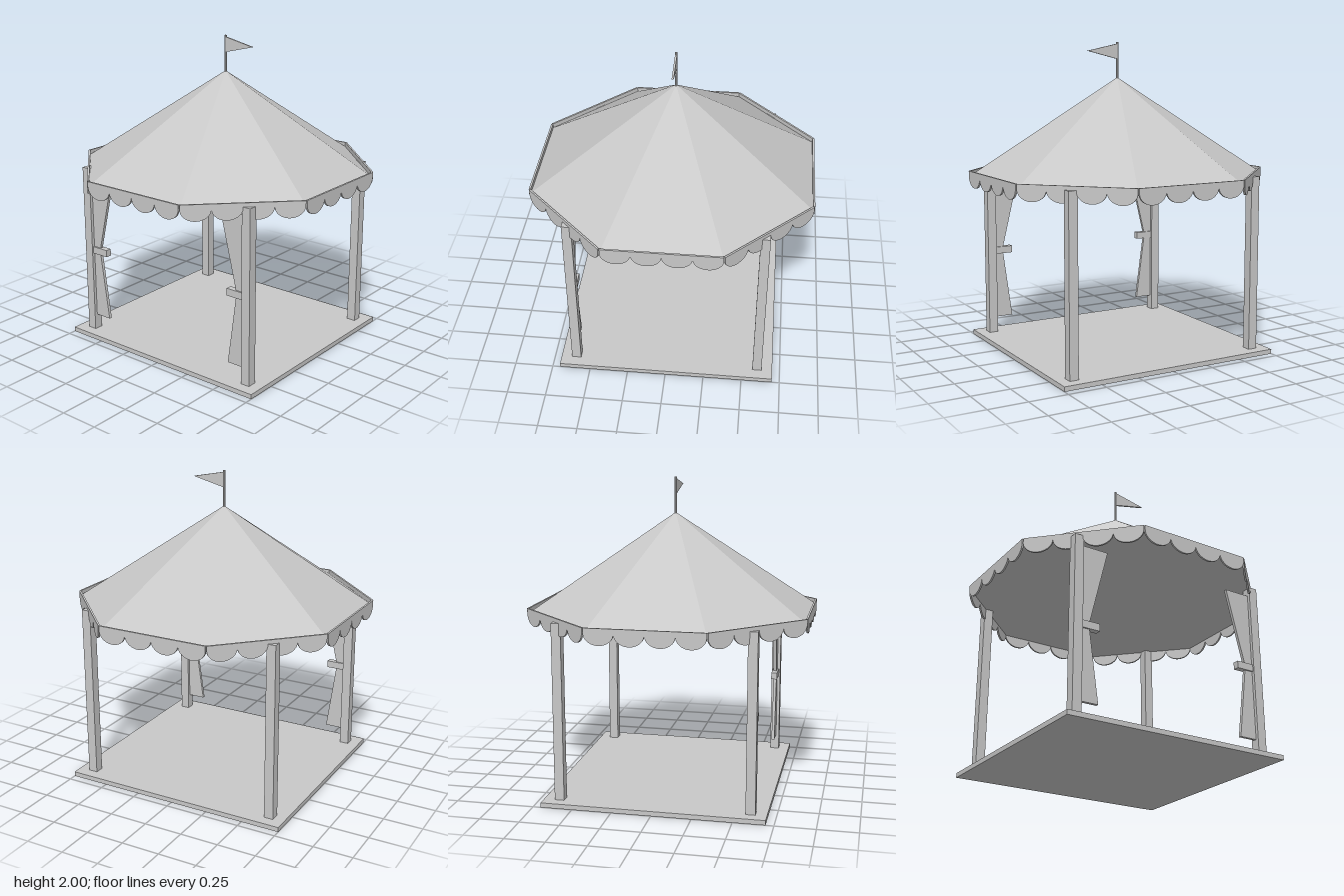
import * as THREE from 'three';

export function createModel() {
  const group = new THREE.Group();
  const grey = new THREE.MeshStandardMaterial({ color: 0xc8c8c8, flatShading: true });
  grey.name = 'plain grey';

  const add = (name, geometry, x = 0, y = 0, z = 0, parent = group) => {
    const mesh = new THREE.Mesh(geometry, grey);
    mesh.name = name;
    mesh.position.set(x, y, z);
    parent.add(mesh);
    return mesh;
  };
  const box = (w, h, d) => new THREE.BoxGeometry(w, h, d);
  // Flat outline with a thickness centred on z = 0
  const plate = (shape, depth) =>
    new THREE.ExtrudeGeometry(shape, { depth, bevelEnabled: false, curveSegments: 12 })
      .translate(0, 0, -depth / 2);
  const outline = (points) => new THREE.Shape(points.map(([x, y]) => new THREE.Vector2(x, y)));

  // Floor and corner posts
  add('floor', box(1.5, 0.03, 1.4), 0, 0.015, 0);
  for (const sx of [-1, 1]) {
    for (const sz of [-1, 1]) {
      add('post', box(0.06, 1.125, 0.06), sx * 0.65, 0.5925, sz * 0.6);
    }
  }

  // Eight-sided roof
  const apothem = 0.88, eave = 1.15, peak = 1.775;
  const radius = apothem / Math.cos(Math.PI / 8);
  const roof = new THREE.ConeGeometry(radius, peak - eave, 8, 1, false, Math.PI / 8);
  add('roof', roof, 0, (eave + peak) / 2, 0);

  // Scalloped valance panel, one for each side of the roof
  const half = apothem * Math.tan(Math.PI / 8);
  const scallops = 4, r = half / scallops;
  const edge = new THREE.Shape();
  edge.moveTo(half, eave);
  edge.lineTo(half, 1.18);
  edge.lineTo(-half, 1.18);
  edge.lineTo(-half, eave);
  for (let i = 0; i < scallops; i++) {
    edge.absellipse(-half + r * (2 * i + 1), eave, r, 0.073, Math.PI, 2 * Math.PI, false, 0);
  }
  const panel = plate(edge, 0.012).translate(0, 0, apothem + 0.005);
  for (let i = 0; i < 8; i++) {
    add('valance', panel).rotation.y = (i * Math.PI) / 4;
  }

  // Tied-back curtains on the front posts
  for (const s of [-1, 1]) {
    const curtain = new THREE.Group();
    curtain.name = s > 0 ? 'leftCurtain' : 'rightCurtain';
    const points = [[0.63, 1.1], [0.445, 1.1], [0.568, 0.6], [0.503, 0.13], [0.63, 0.13]];
    add('drape', plate(outline(points.map(([x, y]) => [s * x, y])), 0.02), 0, 0, 0, curtain);
    add('tieBand', box(0.13, 0.046, 0.04), s * 0.566, 0.595, 0, curtain);
    curtain.position.z = 0.6;
    group.add(curtain);
  }

  // Flagpole and pennant
  add('flagpole', new THREE.CylinderGeometry(0.008, 0.008, 0.25, 8), 0, 1.875, 0);
  add('pennant', plate(outline([[0, 1.99], [0, 1.892], [0.217, 1.945]]), 0.012));

  return group;
}
